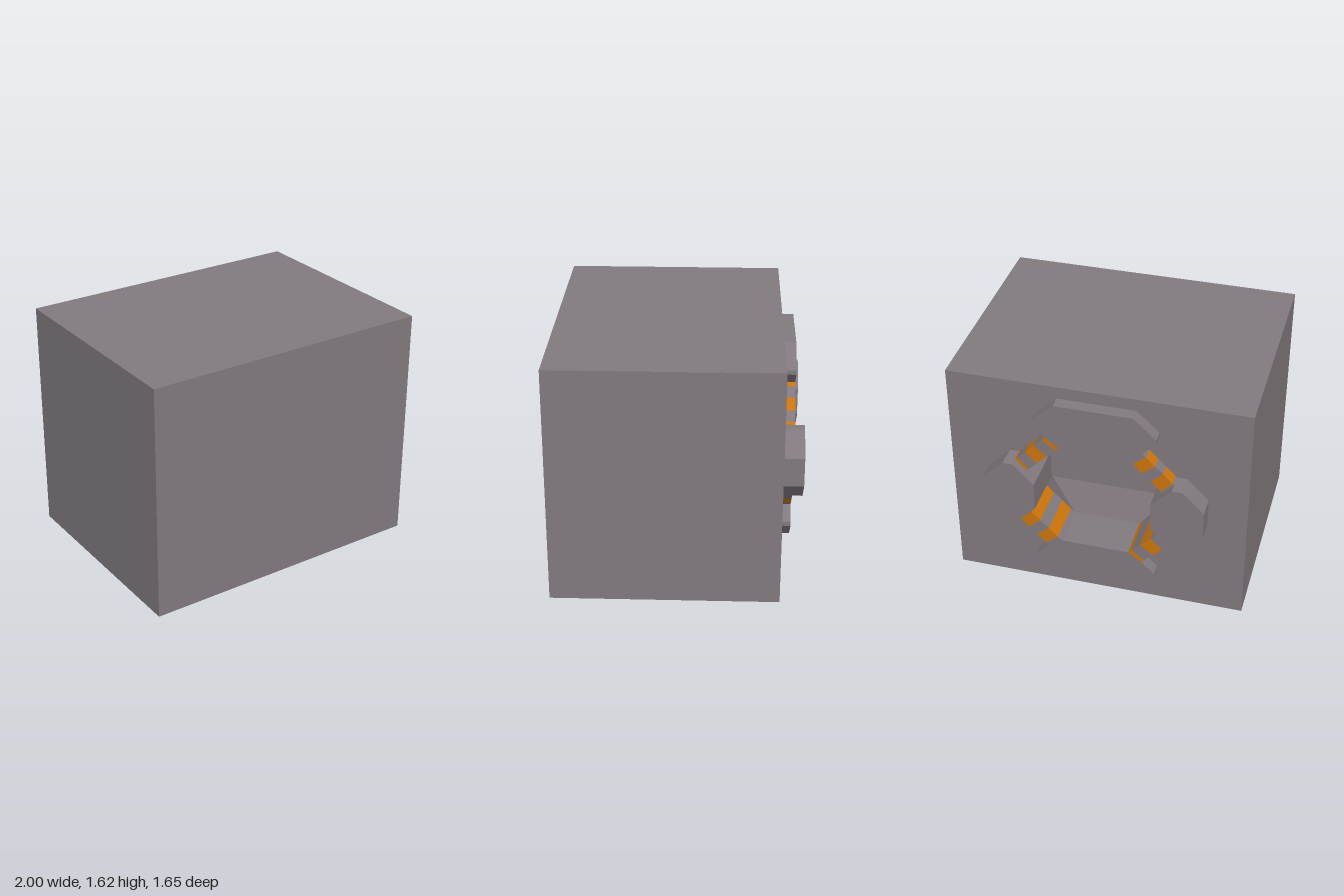
import * as THREE from 'three';

const CY = 0.815;        // height of the hatch centre
const BACK = -0.68;      // rear wall of the crate
const RIM = -0.46;       // inner end of the hatch frame
const ROOM = -0.03;      // far wall of the cavity

export function createModel() {
  const grey = new THREE.MeshStandardMaterial({ color: 0x81797e, side: THREE.DoubleSide });
  grey.name = 'warm grey';
  const orange = new THREE.MeshStandardMaterial({ color: 0xcc750c, side: THREE.DoubleSide });
  orange.name = 'warning orange';
  const root = new THREE.Group();

  const add = (name, geometry, material, parent = root) => {
    const mesh = new THREE.Mesh(geometry, material);
    mesh.name = name;
    parent.add(mesh);
    return mesh;
  };
  const toShape = (pts) => new THREE.Shape(pts.map(([x, y]) => new THREE.Vector2(x, y + CY)));

  // Prism standing off the rear wall and reaching into the opening
  const prism = (pts, outer) => {
    const g = new THREE.ExtrudeGeometry(toShape(pts), { depth: RIM - outer, bevelEnabled: false });
    return g.translate(0, 0, outer);
  };

  // Repeat a quarter outline (top to side) around both axes
  const mirrorRing = (q) => {
    const r = [...q].reverse();
    return [
      ...q,
      ...r.map(([x, y]) => [x, -y]),
      ...q.map(([x, y]) => [-x, -y]),
      ...r.map(([x, y]) => [-x, y]),
    ];
  };
  const rim = mirrorRing([[0.23, 0.39], [0.455, 0.165], [0.39, 0.1]]);
  const far = mirrorRing([[0.53, 0.465], [0.64, 0.125], [0.665, 0.05]]);

  // Crate: five closed sides, then the rear wall with its opening
  const box = new THREE.BoxGeometry(2, 1.615, 1.505);
  box.setIndex(Array.from(box.index.array).slice(0, 30));
  box.clearGroups();
  box.translate(0, 0.8075, 0.0725);
  add('crateBody', box, grey);
  const wall = new THREE.Shape();
  wall.moveTo(-1, 0).lineTo(1, 0).lineTo(1, 1.615).lineTo(-1, 1.615).closePath();
  wall.holes.push(new THREE.Path(rim.map(([x, y]) => new THREE.Vector2(x, y + CY))));
  const rear = new THREE.ShapeGeometry(wall);
  rear.rotateY(Math.PI).translate(0, 0, BACK);
  add('rearWall', rear, grey);

  // Cavity walls widening inward, and the far panel
  const pos = [];
  rim.forEach((a, i) => {
    const j = (i + 1) % rim.length;
    const A = [a[0], a[1] + CY, RIM], B = [rim[j][0], rim[j][1] + CY, RIM];
    const C = [far[j][0], far[j][1] + CY, ROOM], D = [far[i][0], far[i][1] + CY, ROOM];
    pos.push(...A, ...C, ...B, ...A, ...D, ...C);
  });
  const cavity = new THREE.BufferGeometry();
  cavity.setAttribute('position', new THREE.Float32BufferAttribute(pos, 3));
  cavity.computeVertexNormals();
  // Normals must point towards the centre line of the cavity
  const p = cavity.attributes.position, n = cavity.attributes.normal;
  if (n.getX(0) * p.getX(0) + n.getY(0) * (p.getY(0) - CY) > 0) {
    for (let i = 0; i < p.count; i += 3) {
      const b = [p.getX(i + 1), p.getY(i + 1), p.getZ(i + 1)];
      p.setXYZ(i + 1, p.getX(i + 2), p.getY(i + 2), p.getZ(i + 2));
      p.setXYZ(i + 2, ...b);
    }
    cavity.computeVertexNormals();
  }
  add('cavityWalls', cavity, grey);
  const panel = new THREE.ShapeGeometry(toShape(far));
  add('cavityPanel', panel.rotateY(Math.PI).translate(0, 0, ROOM), grey);

  // Upper and lower plates
  for (const s of [1, -1]) {
    const half = [[0.26, 0.715], [0.41, 0.575], [0.41, 0.545], [0.32, 0.455], [0.23, 0.39]];
    const pts = [...half, ...[...half].reverse().map(([x, y]) => [-x, y])];
    add(s > 0 ? 'upperPlate' : 'lowerPlate', prism(pts.map(([x, y]) => [x, y * s]), -0.765), grey);
  }

  // Octagonal side knobs
  for (const s of [1, -1]) {
    const half = [[0.53, 0.243], [0.595, 0.243], [0.74, 0.1], [0.74, -0.1],
      [0.595, -0.243], [0.53, -0.243], [0.39, -0.1], [0.39, 0.1]];
    add(s > 0 ? 'leftKnob' : 'rightKnob', prism(half.map(([x, y]) => [x * s, y]), -0.825), grey);
  }

  // Striped diagonal bars joining the plates and knobs
  const lerp = (a, b, t) => [a[0] + (b[0] - a[0]) * t, a[1] + (b[1] - a[1]) * t];
  for (const sx of [1, -1]) for (const sy of [1, -1]) {
    const bar = new THREE.Group();
    bar.name = (sy > 0 ? 'upper' : 'lower') + (sx > 0 ? 'Left' : 'Right') + 'Bar';
    root.add(bar);
    const same = sx === sy;
    const cuts = same ? [0, 0.1, 0.37, 0.67, 0.93, 1] : [0, 0.12, 0.4, 0.65, 0.95, 1];
    for (let i = 0; i < cuts.length - 1; i++) {
      const [t0, t1] = [cuts[i], cuts[i + 1]];
      const O = [[0.32, 0.455], [0.53, 0.243]], I = [[0.23, 0.39], [0.455, 0.165]];
      const pts = [lerp(...O, t0), lerp(...O, t1), lerp(...I, t1), lerp(...I, t0)];
      const isOrange = (i % 2 === 0) === same;
      add(isOrange ? 'orangeStripe' : 'greyStripe',
        prism(pts.map(([x, y]) => [x * sx, y * sy]), -0.765), isOrange ? orange : grey, bar);
    }
  }
  return root;
}
